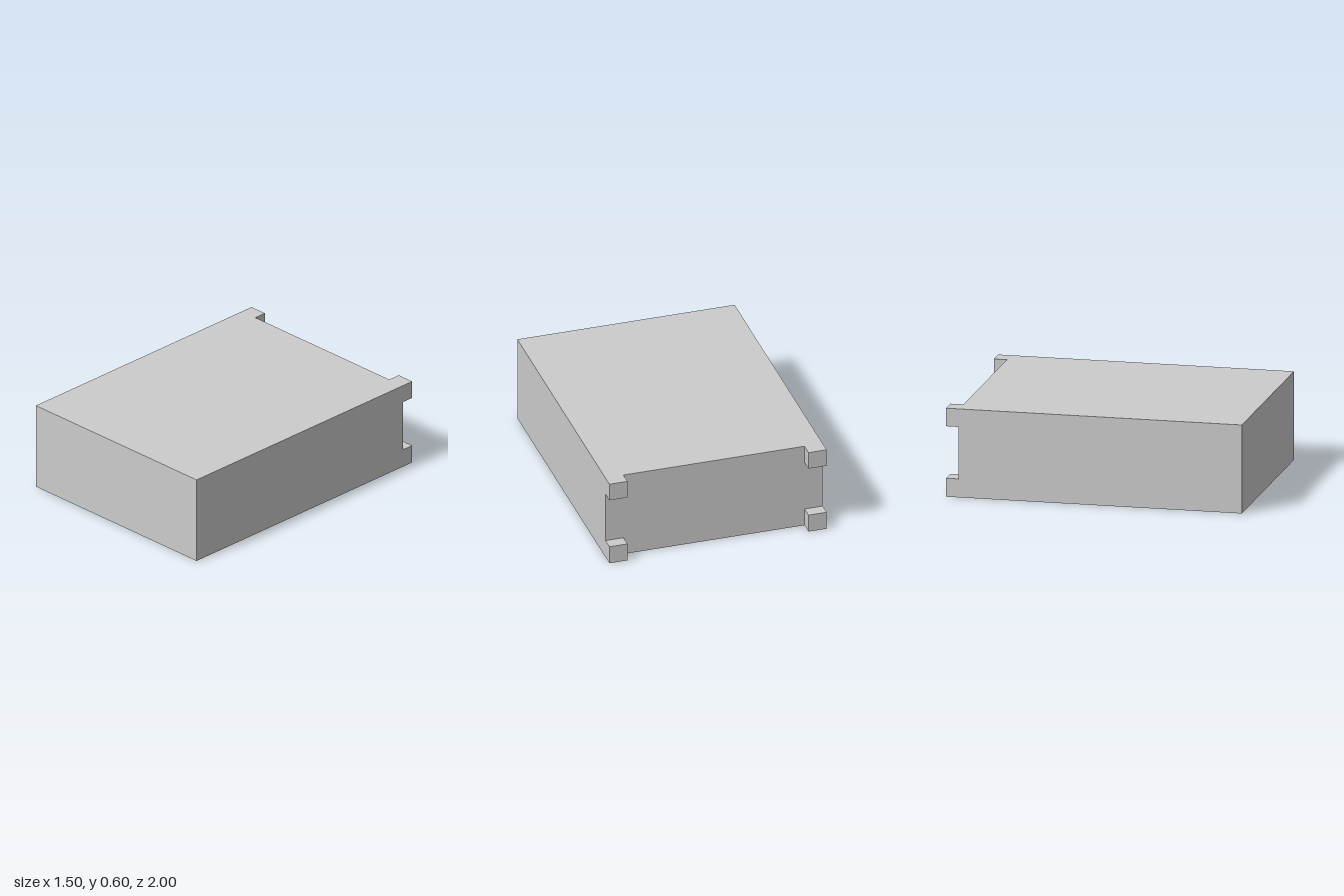
import * as THREE from 'three';

const H = 0.6;            // overall height
const W = 0.75;           // half width
const INNER = 0.625;      // inner face of the side panels
const FRONT = 0.925;      // back face of the front panel
const BACK = -0.8;        // inner face of the back panel
const SLAB = 0.06;        // thickness of top, floor and rails

export function createModel() {
  const model = new THREE.Group();
  const material = new THREE.MeshStandardMaterial({ color: 0xcccccc, flatShading: true });

  // Box given by its limits on each axis
  function addBox(name, [x0, x1], [y0, y1], [z0, z1]) {
    const mesh = new THREE.Mesh(new THREE.BoxGeometry(x1 - x0, y1 - y0, z1 - z0), material);
    mesh.position.set((x0 + x1) / 2, (y0 + y1) / 2, (z0 + z1) / 2);
    mesh.name = name;
    model.add(mesh);
  }

  // Side panels: notched profile drawn as (-z, y), extruded across x
  const profile = new THREE.Shape([
    [-FRONT, 0], [1, 0], [1, 0.125], [0.915, 0.125],
    [0.915, 0.478], [1, 0.478], [1, H], [-FRONT, H],
  ].map(([x, y]) => new THREE.Vector2(x, y)));
  const sideGeometry = new THREE.ExtrudeGeometry(profile, { depth: W - INNER, bevelEnabled: false });
  sideGeometry.rotateY(Math.PI / 2);
  for (const [name, x] of [['leftSide', INNER], ['rightSide', -W]]) {
    const side = new THREE.Mesh(sideGeometry, material);
    side.position.x = x;
    side.name = name;
    model.add(side);
  }

  // Front, back and top panels
  addBox('frontPanel', [-W, W], [0, H], [FRONT, 1]);
  addBox('backPanel', [-INNER, INNER], [0, H], [-0.912, BACK]);
  addBox('topPanel', [-INNER, INNER], [H - SLAB, H], [BACK, FRONT]);

  // Underside: centre rail, cross rails and the floor panels between them
  const rail = 0.05, crossBack = -0.235, crossFront = -0.115;
  addBox('centreRail', [-rail, rail], [0, SLAB], [BACK, FRONT]);
  for (const [side, x] of [['left', [rail, INNER]], ['right', [-INNER, -rail]]]) {
    addBox(side + 'CrossRail', x, [0, SLAB], [crossBack, crossFront]);
    addBox(side + 'FrontFloor', x, [0, SLAB], [crossFront, FRONT]);
    addBox(side + 'BackFloor', x, [0, SLAB], [BACK, crossBack]);
  }

  return model;
}
